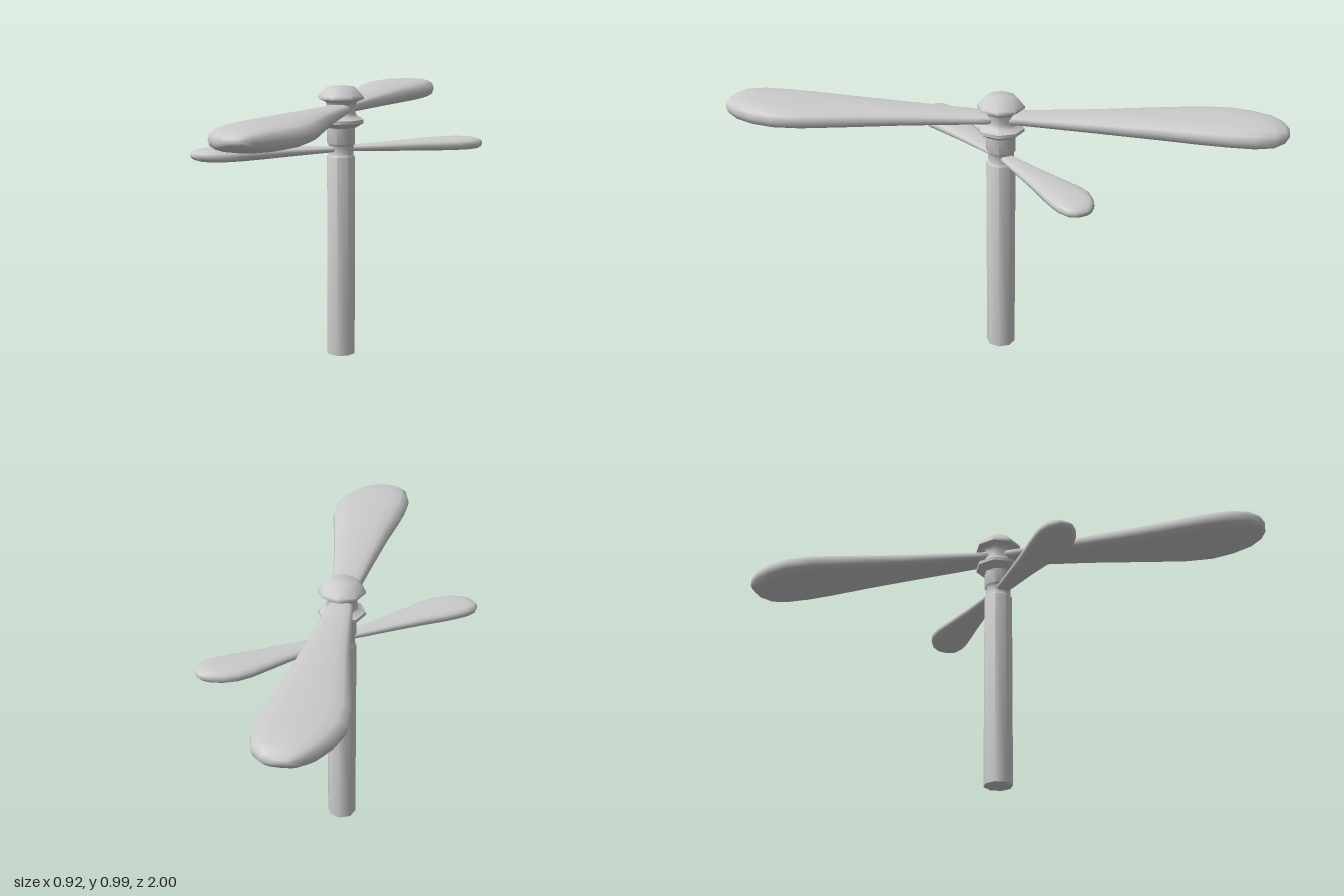
import * as THREE from 'three';
import { toCreasedNormals } from 'three/addons/utils/BufferGeometryUtils.js';

const grey = new THREE.MeshStandardMaterial({ color: 0xcccccc });

// Eight-sided turned part from [radius, height] pairs, bottom to top
function turned(name, profile) {
  const pts = profile.map(([r, y]) => new THREE.Vector2(r, y));
  const mesh = new THREE.Mesh(toCreasedNormals(new THREE.LatheGeometry(pts, 8), 0.85), grey);
  mesh.name = name;
  return mesh;
}

// Blade stations along +z: [distance, left edge, right edge, half thickness]
const stations = [
  [0, -0.04, 0.04, 0.018],
  [0.08, -0.045, 0.05, 0.02],
  [0.34, -0.076, 0.08, 0.029],
  [0.55, -0.103, 0.113, 0.037],
  [0.7, -0.128, 0.138, 0.041],
  [0.8, -0.141, 0.138, 0.042],
  [0.88, -0.143, 0.112, 0.042],
  [0.945, -0.128, 0.073, 0.038],
  [0.984, -0.094, 0.033, 0.026],
  [1, -0.06, 0.0, 0.01],
];

// Loft a rounded section through the stations and close both ends
function bladeGeometry() {
  const n = 16, pos = [], idx = [];
  const soft = (v, p) => Math.sign(v) * Math.abs(v) ** p;
  for (const [s, x0, x1, t] of stations) {
    for (let i = 0; i < n; i++) {
      const a = (i / n) * Math.PI * 2;
      pos.push((x0 + x1) / 2 + soft(Math.cos(a), 0.75) * (x1 - x0) / 2, soft(Math.sin(a), 0.75) * t, s);
    }
  }
  for (let r = 0; r < stations.length - 1; r++) {
    for (let i = 0; i < n; i++) {
      const a = r * n + i, b = r * n + (i + 1) % n;
      idx.push(a, b, b + n, a, b + n, a + n);
    }
  }
  const last = (stations.length - 1) * n;
  for (let i = 1; i < n - 1; i++) {
    idx.push(0, i + 1, i, last, last + i, last + i + 1);
  }
  const geo = new THREE.BufferGeometry();
  geo.setAttribute('position', new THREE.Float32BufferAttribute(pos, 3));
  geo.setIndex(idx);
  geo.computeVertexNormals();
  return geo;
}

// Two opposite blades sharing one axis
function bladePair(name, geo, y, scale, degrees) {
  const pair = new THREE.Group();
  pair.name = name;
  for (const turn of [0, Math.PI]) {
    const blade = new THREE.Mesh(geo, grey);
    blade.name = 'blade';
    blade.rotation.y = turn;
    pair.add(blade);
  }
  pair.position.y = y;
  pair.scale.setScalar(scale);
  pair.rotation.y = THREE.MathUtils.degToRad(degrees);
  return pair;
}

export function createModel() {
  const model = new THREE.Group();
  model.name = 'rotorMast';

  // Mast with a shallow groove where the small blades sit
  model.add(turned('mast', [
    [0, 0], [0.053, 0], [0.053, 0.74], [0.047, 0.748],
    [0.047, 0.78], [0.053, 0.788], [0.053, 0.85], [0, 0.85],
  ]));

  // Hub with lower collar, waist and bevelled cap
  model.add(turned('hub', [
    [0, 0.846], [0.055, 0.846], [0.085, 0.864], [0.085, 0.876], [0.06, 0.888],
    [0.055, 0.9], [0.055, 0.93], [0.062, 0.942], [0.085, 0.95], [0.085, 0.958],
    [0.075, 0.97], [0.053, 0.992], [0, 0.992],
  ]));

  // Large upper rotor and smaller lower rotor
  const geo = bladeGeometry();
  model.add(bladePair('mainRotor', geo, 0.913, 1, 0));
  model.add(bladePair('lowerRotor', geo, 0.768, 0.555, 128));
  return model;
}
